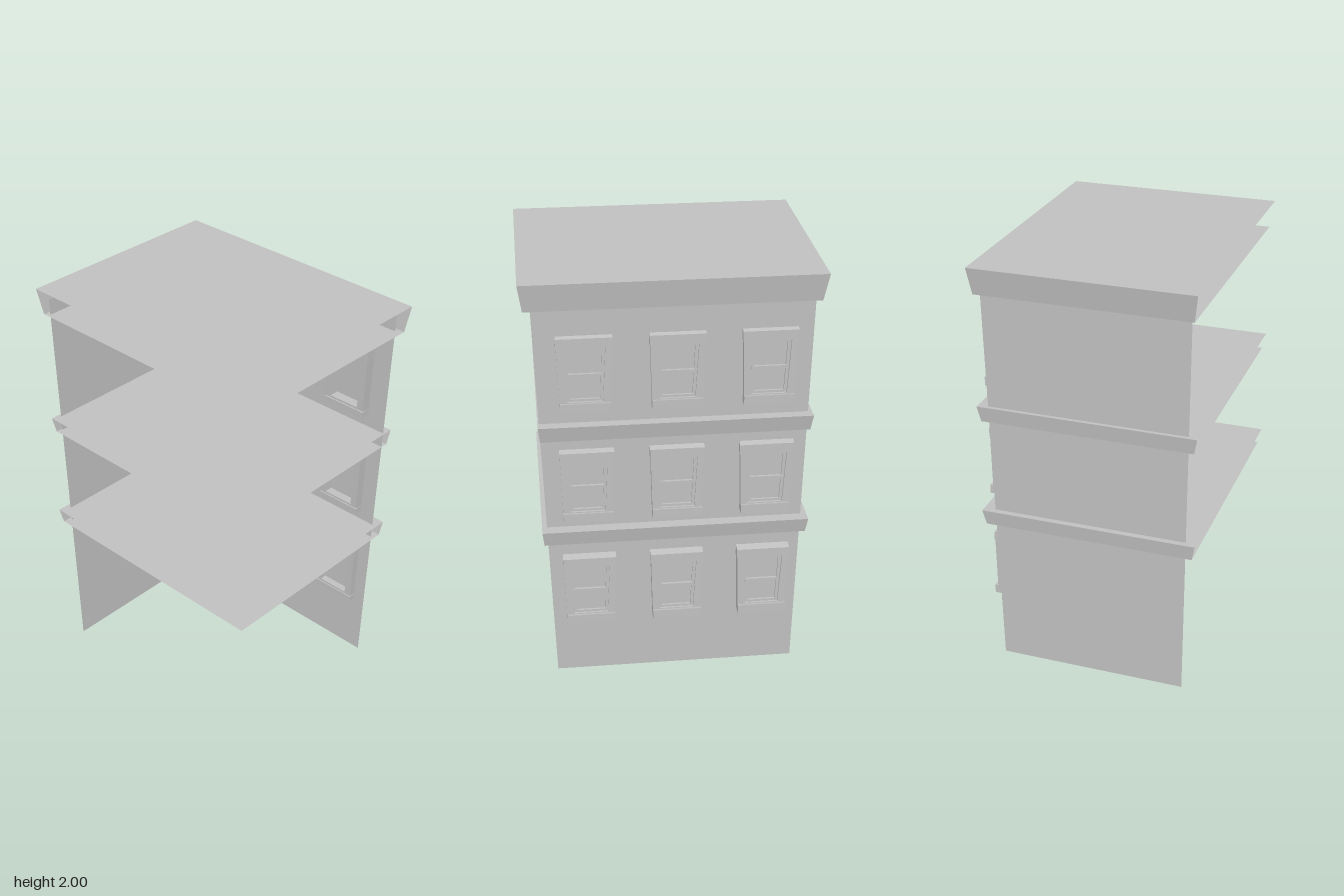
import * as THREE from 'three';

export function createModel() {
  const stone = new THREE.MeshStandardMaterial({ color: 0xc0c0c0, side: THREE.DoubleSide });
  stone.name = 'pale grey stone';
  const model = new THREE.Group();
  model.name = 'cornerBuilding';

  const add = (parent, geometry, name) => {
    const mesh = new THREE.Mesh(geometry, stone);
    mesh.name = name;
    parent.add(mesh);
    return mesh;
  };

  // One flat four-cornered sheet
  const sheet = (parent, name, a, b, c, d) => {
    const g = new THREE.BufferGeometry();
    g.setAttribute('position', new THREE.Float32BufferAttribute([...a, ...b, ...c, ...a, ...c, ...d], 3));
    g.computeVertexNormals();
    return add(parent, g, name);
  };

  // Horizontal ring of corners: front right, back right, back left, front left
  const ring = (y, x0, x1, z0, z1) => [[x1, y, z1], [x1, y, z0], [x0, y, z0], [x0, y, z1]];

  // The two outer walls, leaning slightly outwards
  const base = ring(0, -0.45, 0.445, -0.58, 0.553);
  const head = ring(1.95, -0.477, 0.47, -0.615, 0.612);
  ['sideWall', 'backWall'].forEach((name, i) =>
    sheet(model, name, base[i], base[i + 1], head[i + 1], head[i]));

  // Ledges: top and bottom sheets closed only on the two street sides
  function ledge(name, bottom, top) {
    const group = new THREE.Group();
    group.name = name;
    sheet(group, 'ledgeTop', ...top);
    sheet(group, 'ledgeUnderside', ...[...bottom].reverse());
    for (let i = 0; i < 2; i++) {
      sheet(group, 'ledgeFace', bottom[i], bottom[i + 1], top[i + 1], top[i]);
    }
    model.add(group);
  }
  for (const [y0, y1] of [[0.73, 0.803], [1.26, 1.335]]) {
    ledge('storeyBand', ring(y0, -0.495, 0.495, -0.612, 0.592), ring(y1, -0.51, 0.51, -0.622, 0.6));
  }
  ledge('cornice', ring(1.875, -0.492, 0.492, -0.638, 0.642), ring(2, -0.51, 0.51, -0.66, 0.66));

  // Shape with four corners: half widths at bottom and top
  const trapezoid = (PathType, y0, y1, w0, w1) => new PathType([
    [-w0, y0], [w0, y0], [w1, y1], [-w1, y1]].map(p => new THREE.Vector2(...p)));

  // Outline facing +x, pushed out from x0 to x1
  function facing(outline, hole, x0, x1) {
    if (hole) outline.holes.push(hole);
    const g = new THREE.ExtrudeGeometry(outline, { depth: x1 - x0, bevelEnabled: false });
    return g.rotateY(Math.PI / 2).translate(x0, 0, 0);
  }

  // Side profile in x and y, run along z
  function profile(points, width) {
    const shape = new THREE.Shape(points.map(p => new THREE.Vector2(...p)));
    return new THREE.ExtrudeGeometry(shape, { depth: width, bevelEnabled: false }).translate(0, 0, -width / 2);
  }

  // Window, measured up from the underside of its sill
  function windowUnit() {
    const w = new THREE.Group();
    w.name = 'window';
    add(w, facing(
      trapezoid(THREE.Shape, 0.035, 0.305, 0.113, 0.12),
      trapezoid(THREE.Path, 0.045, 0.3, 0.078, 0.092), 0.415, 0.49), 'frame');
    add(w, profile([[0.415, 0.3], [0.492, 0.3], [0.492, 0.345], [0.415, 0.36]], 0.245), 'lintel');
    add(w, profile([[0.415, 0], [0.505, 0], [0.505, 0.043], [0.415, 0.03]], 0.226), 'sill');
    add(w, facing(
      trapezoid(THREE.Shape, 0.043, 0.302, 0.08, 0.094),
      trapezoid(THREE.Path, 0.056, 0.287, 0.066, 0.076), 0.466, 0.48), 'sash');
    add(w, facing(trapezoid(THREE.Shape, 0.16, 0.175, 0.08, 0.08), null, 0.466, 0.482), 'middleRail');
    add(w, facing(trapezoid(THREE.Shape, 0.043, 0.302, 0.08, 0.094), null, 0.463, 0.47), 'pane');
    return w;
  }

  // Three windows on each of three storeys
  for (const y of [0.3, 0.85, 1.4]) {
    for (const z of [0.388, -0.016, -0.42]) {
      const w = windowUnit();
      w.position.set(0, y, z);
      model.add(w);
    }
  }
  return model;
}
